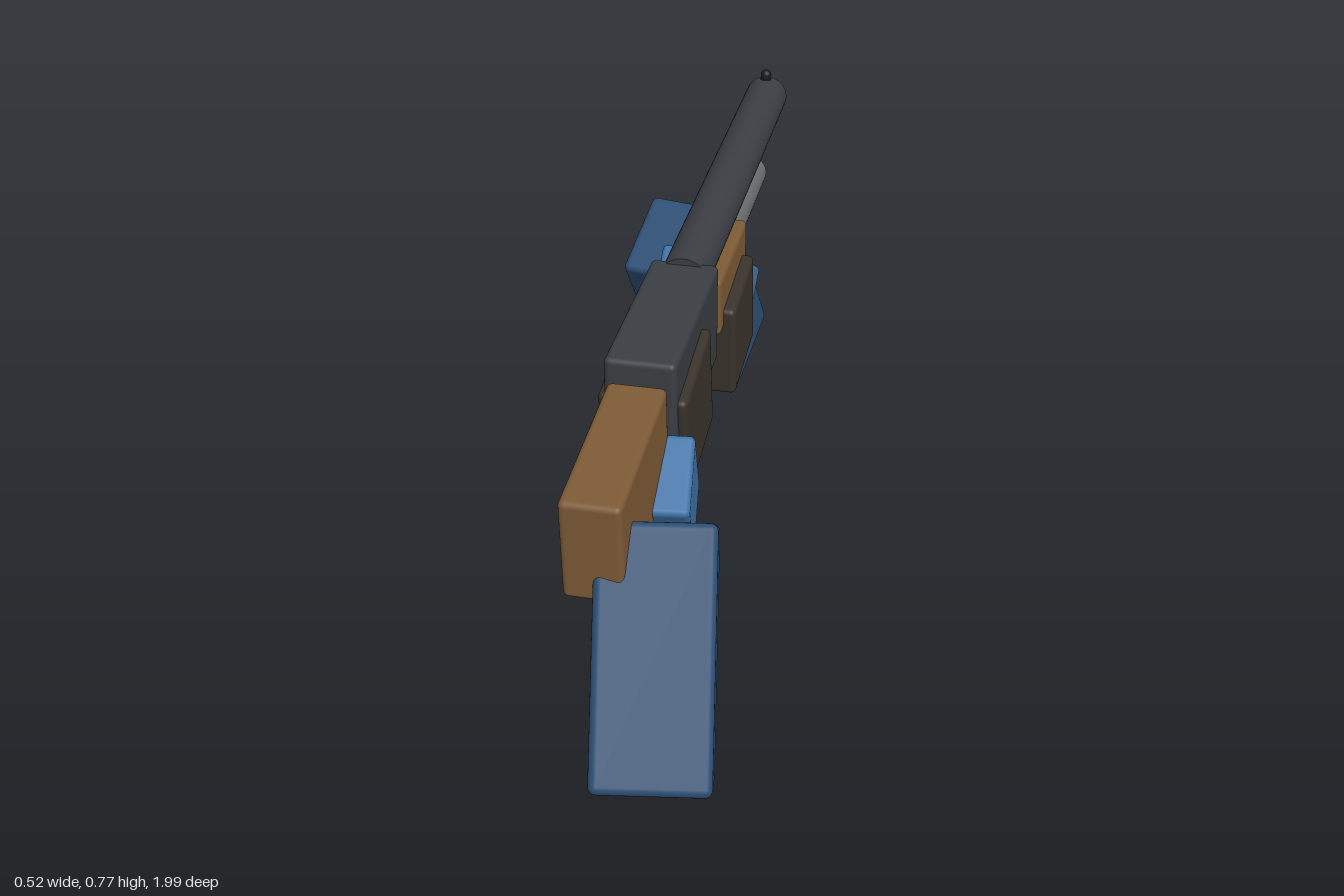
import * as THREE from 'three';
import { RoundedBoxGeometry } from 'three/addons/geometries/RoundedBoxGeometry.js';

const material = (color) => new THREE.MeshStandardMaterial({ color });
const CENTER = 0.008; // x of the weapon's centre line

export function createModel() {
  const model = new THREE.Group();
  const steel = material(0x3a3d42);
  const tubeSteel = material(0x6b6c71);
  const wood = material(0x7d5a36);
  const glove = material(0x3a332b);
  const sleeve = material(0x2c4d72);
  const cuff = material(0x3f72a6);
  const black = material(0x1a1a1c);

  const add = (name, geometry, mat, position) => {
    const mesh = new THREE.Mesh(geometry, mat);
    mesh.name = name;
    mesh.position.set(...position);
    model.add(mesh);
    return mesh;
  };

  // Rounded block, pitched in degrees about x, then yawed about y
  const block = (name, mat, size, position, pitch = 0, yaw = 0, radius = 0.012) => {
    const mesh = add(name, new RoundedBoxGeometry(...size, 3, radius), mat, position);
    mesh.rotation.set(THREE.MathUtils.degToRad(pitch), THREE.MathUtils.degToRad(yaw), 0, 'YXZ');
  };

  // Cylinder running along z
  const rod = (name, mat, radius, y, zBack, zFront) => {
    const geometry = new THREE.CylinderGeometry(radius, radius, zFront - zBack, 32).rotateX(Math.PI / 2);
    add(name, geometry, mat, [CENTER, y, (zBack + zFront) / 2]);
  };

  // Metalwork
  block('receiver', steel, [0.14, 0.22, 0.42], [CENTER, 0.627, 0.19]);
  rod('barrel', steel, 0.05, 0.702, -1, 0);
  rod('magazineTube', tubeSteel, 0.04, 0.595, -0.78, 0);

  // Front sight: bead on a short post
  add('sightPost', new THREE.CylinderGeometry(0.013, 0.013, 0.03, 16), black, [CENTER, 0.748, -0.985]);
  add('sightBead', new THREE.SphereGeometry(0.013, 16, 12), black, [CENTER, 0.762, -0.985]);

  // Woodwork
  block('pump', wood, [0.125, 0.132, 0.305], [CENTER, 0.595, -0.238]);
  block('stock', wood, [0.115, 0.215, 0.375], [CENTER, 0.58, 0.594], 4);
  block('grip', wood, [0.085, 0.21, 0.13], [CENTER, 0.453, 0.298], 20);

  // Rear arm
  block('rearHand', glove, [0.175, 0.235, 0.24], [CENTER, 0.549, 0.247], 9);
  block('rearWrist', cuff, [0.19, 0.21, 0.168], [0.025, 0.463, 0.433], 31.5, 7);
  block('rearForearm', sleeve, [0.22, 0.22, 0.48], [0.116, 0.341, 0.753], 54.7, 9.6, 0.015);

  // Front arm
  block('frontHand', glove, [0.175, 0.22, 0.23], [CENTER, 0.478, -0.241], 6);
  block('frontWrist', cuff, [0.195, 0.205, 0.168], [-0.043, 0.403, -0.474], -34, -8.5);
  block('frontForearm', sleeve, [0.217, 0.217, 0.475], [-0.117, 0.258, -0.768], -59.7, -11, 0.015);

  return model;
}
